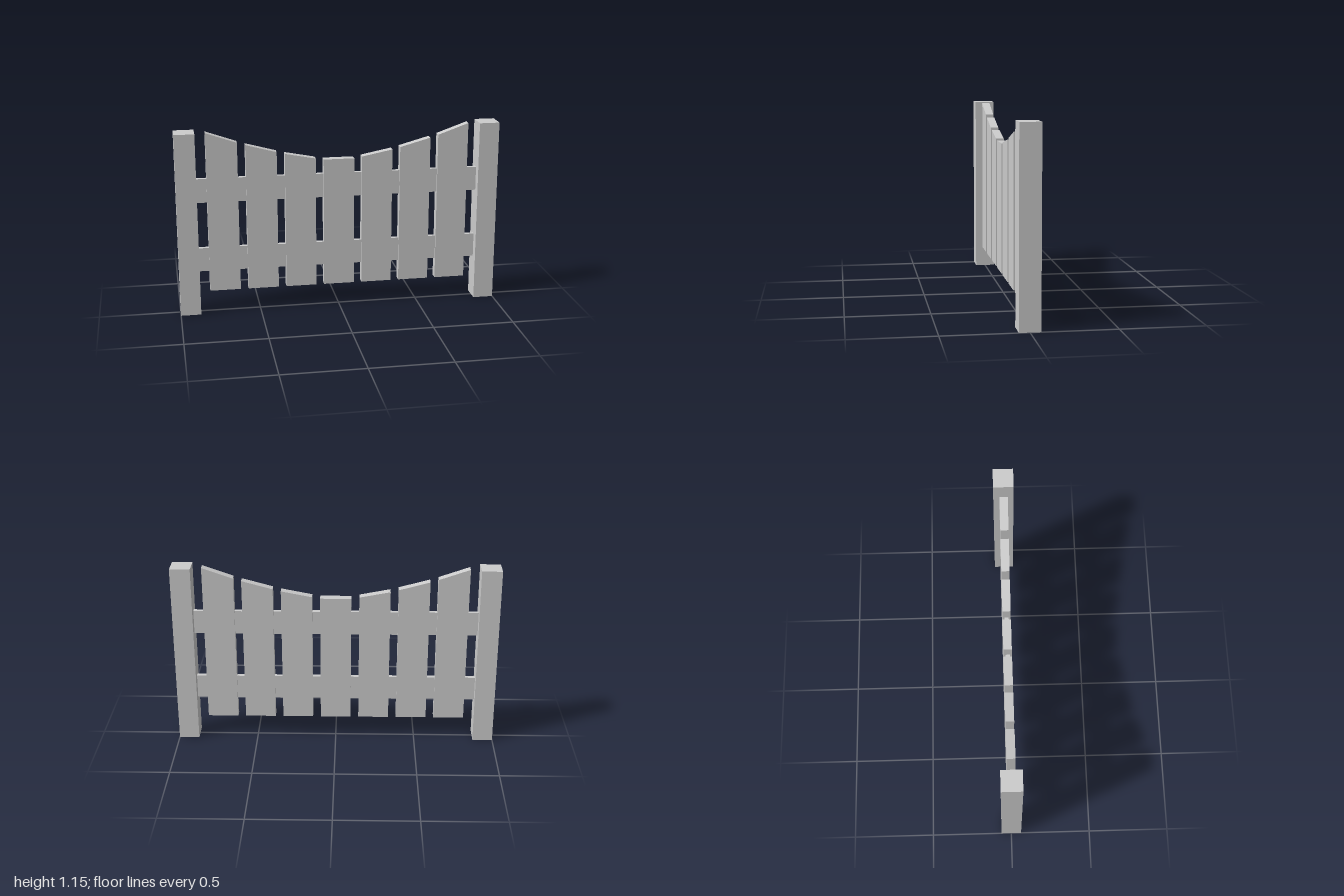
import * as THREE from 'three';

const solid = new THREE.MeshStandardMaterial({ color: 0xcccccc, flatShading: true });
const open = new THREE.MeshStandardMaterial({ color: 0xcccccc, flatShading: true, side: THREE.DoubleSide });

function add(group, name, geometry, material, x, y, z = 0) {
  const mesh = new THREE.Mesh(geometry, material);
  mesh.name = name;
  mesh.position.set(x, y, z);
  group.add(mesh);
}

// Square post, hollow and open underneath
function postGeometry(width, height) {
  const geometry = new THREE.BoxGeometry(width, height, width);
  const index = Array.from(geometry.index.array);
  index.splice(18, 6); // drop the bottom face
  geometry.setIndex(index);
  geometry.clearGroups();
  return geometry;
}

// Upright board whose top slopes from yLeft (at -x) to yRight (at +x)
function boardGeometry(width, depth, yBottom, yLeft, yRight) {
  const w = width / 2;
  const shape = new THREE.Shape();
  shape.moveTo(-w, yBottom);
  shape.lineTo(w, yBottom);
  shape.lineTo(w, yRight);
  shape.lineTo(-w, yLeft);
  shape.closePath();
  return new THREE.ExtrudeGeometry(shape, { depth, bevelEnabled: false }).translate(0, 0, -depth / 2);
}

export function createModel() {
  const fence = new THREE.Group();
  fence.name = 'fence';

  // End posts
  for (const side of [-1, 1]) {
    add(fence, side > 0 ? 'leftPost' : 'rightPost', postGeometry(0.125, 1.15), open, side * 0.9375, 0.575);
  }

  // Horizontal rails between the posts
  add(fence, 'lowerRail', new THREE.BoxGeometry(1.75, 0.15, 0.026), solid, 0, 0.343);
  add(fence, 'upperRail', new THREE.BoxGeometry(1.75, 0.15, 0.026), solid, 0, 0.785);

  // Boards: [inner, outer] top heights from the middle outwards
  const tops = [[0.952, 0.952], [0.961, 0.998], [1.011, 1.063], [1.079, 1.146]];
  for (let i = -3; i <= 3; i++) {
    const [inner, outer] = tops[Math.abs(i)];
    const [yLeft, yRight] = i < 0 ? [outer, inner] : [inner, outer];
    add(fence, `board${i + 4}`, boardGeometry(0.19, 0.05, 0.14, yLeft, yRight), solid, i * 0.239, 0);
  }

  return fence;
}
